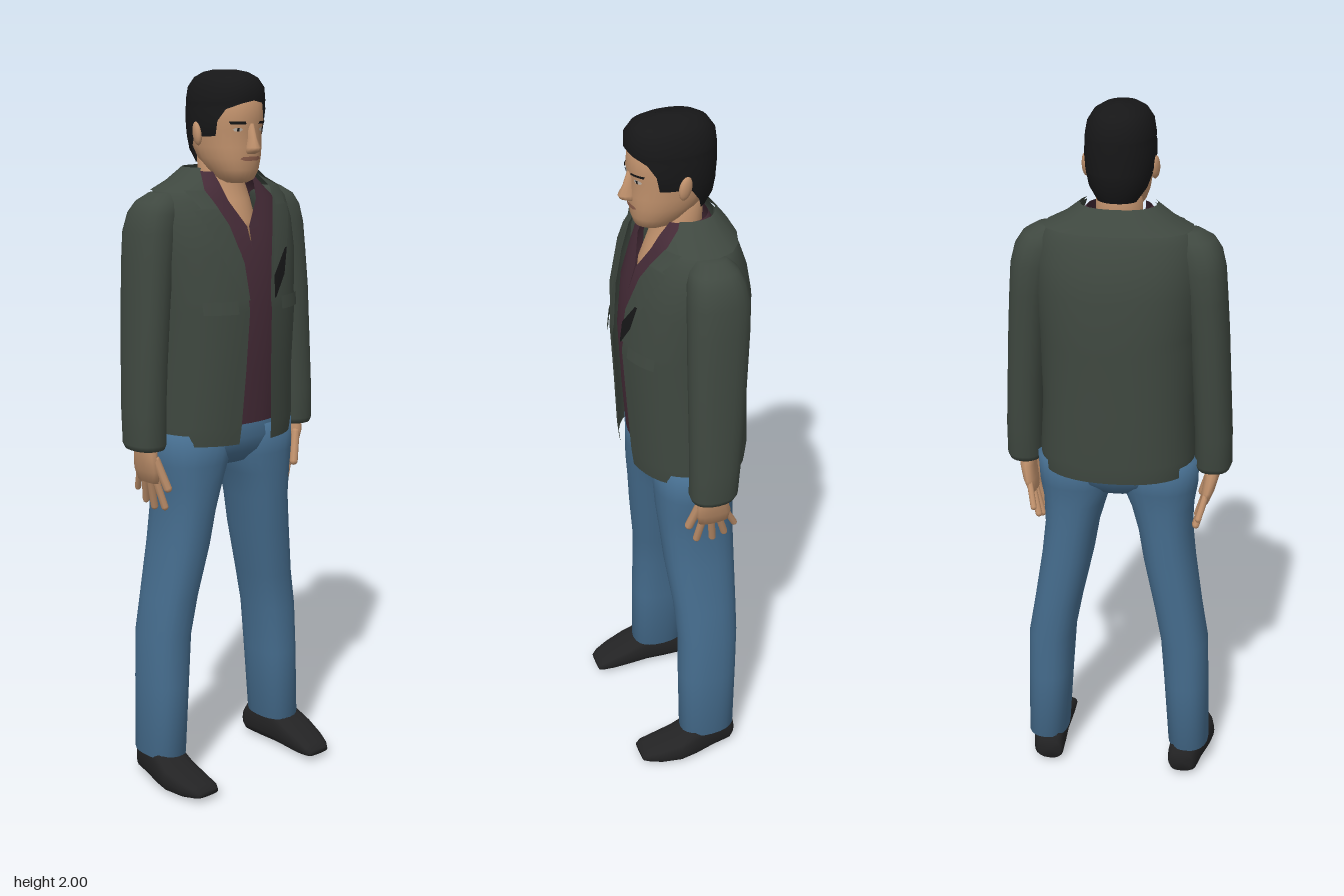
import * as THREE from 'three';
import { mergeVertices } from 'three/addons/utils/BufferGeometryUtils.js';

const mat = (name, color, side = THREE.FrontSide) => {
  const m = new THREE.MeshStandardMaterial({ color, side });
  m.name = name;
  return m;
};

// Loft through rings [y, centreX, radiusX, zBack, zFront, startAngle, endAngle]; angle 0 is the front
function loft(rings, { seg = 28, e = 2.3, cap = true, offset = 0 } = {}) {
  const pos = [], idx = [], n = seg + 1;
  const pw = v => Math.sign(v) * Math.abs(v) ** (2 / e);
  for (const [y, cx, rx, zb, zf, a0 = 0, a1 = 2 * Math.PI - a0] of rings) {
    for (let j = 0; j < n; j++) {
      const t = a0 + (a1 - a0) * j / seg;
      let s = Math.sin(t), c = Math.cos(t);
      if (Math.abs(s) < 1e-9) s = 0;
      if (Math.abs(c) < 1e-9) c = 0;
      pos.push(cx + (rx + offset) * pw(s), y, (zb + zf) / 2 + ((zf - zb) / 2 + offset) * pw(c));
    }
  }
  for (let i = 0; i < rings.length - 1; i++) for (let j = 0; j < seg; j++) {
    const a = i * n + j, d = a + n;
    idx.push(a, a + 1, d + 1, a, d + 1, d);
  }
  if (cap) [0, rings.length - 1].forEach((r, k) => {
    const [y, cx, , zb, zf] = rings[r], c = pos.length / 3;
    pos.push(cx, y, (zb + zf) / 2);
    for (let j = 0; j < seg; j++) {
      const a = r * n + j;
      idx.push(c, k ? a : a + 1, k ? a + 1 : a);
    }
  });
  let g = new THREE.BufferGeometry();
  g.setAttribute('position', new THREE.Float32BufferAttribute(pos, 3));
  g.setIndex(idx);
  g = mergeVertices(g, 1e-5);
  g.computeVertexNormals();
  return g;
}

// Thin strip lying on a loft: rows are [y, startAngle, endAngle]
function patch(rings, rows, offset, side = 1, e = 2.3) {
  const made = rows.map(([y, a, b]) => {
    let i = 0;
    while (i < rings.length - 2 && rings[i + 1][0] < y) i++;
    const p = rings[i], q = rings[i + 1], k = (y - p[0]) / (q[0] - p[0]);
    const r = [1, 2, 3, 4].map(m => p[m] + (q[m] - p[m]) * k);
    return [y, ...r, ...(side > 0 ? [a, b] : [-b, -a])];
  });
  return loft(made, { seg: 12, cap: false, offset, e });
}

export function createModel() {
  const root = new THREE.Group();
  root.name = 'standingMan';
  const D = THREE.DoubleSide;
  const skin = mat('skin', 0xc0916c), jacketM = mat('jacket green', 0x3f4840, D);
  const shirtM = mat('shirt maroon', 0x452b37, D), denim = mat('denim blue', 0x456c8d);
  const hairM = mat('hair black', 0x171718, D), leather = mat('shoe black', 0x232324);
  const lip = mat('lip', 0x8f604d, D), eyeM = mat('eye white', 0xc4b8ac, D);
  const add = (name, geo, m, parent = root) => {
    const mesh = new THREE.Mesh(geo, m);
    mesh.name = name;
    parent.add(mesh);
    return mesh;
  };

  // Jacket body, open down the front
  const jacket = [
    [1.0, 0, .212, -.185, .145, .22], [1.05, 0, .218, -.19, .15, .2], [1.2, 0, .21, -.188, .157, .17],
    [1.37, 0, .215, -.19, .165, .14], [1.4, 0, .216, -.19, .16, .14], [1.52, 0, .225, -.188, .148, .19],
    [1.6, 0, .225, -.172, .125, .3], [1.66, 0, .213, -.15, .1, .45], [1.69, 0, .188, -.135, .08, .6],
    [1.715, 0, .13, -.115, .065, .85], [1.74, 0, .1, -.095, .05, 1.1]];
  add('jacketBody', loft(jacket, { cap: false, seg: 40 }), jacketM);
  add('collar', patch(jacket, [[1.685, .95, 5.33], [1.71, .9, 5.38], [1.745, 1.05, 5.23]], .009), jacketM);
  add('lapelShade', patch(jacket, [[1.4, .15, .17], [1.46, .16, .34], [1.53, .38, .42]], .012), hairM);

  // Shirt with a V neck
  add('shirt', loft([
    [1.05, 0, .17, -.15, .128], [1.2, 0, .175, -.15, .138], [1.38, 0, .18, -.15, .146],
    [1.52, 0, .19, -.15, .13], [1.59, 0, .18, -.13, .108, .01], [1.66, 0, .165, -.12, .086, .25],
    [1.7, 0, .12, -.1, .07, .45], [1.735, 0, .085, -.082, .055, .8]], { cap: false, seg: 36 }), shirtM);

  // Neck and chest
  add('neck', loft([
    [1.55, 0, .08, -.06, .102], [1.6, 0, .08, -.065, .096], [1.66, 0, .075, -.07, .072],
    [1.72, 0, .062, -.072, .05], [1.8, 0, .06, -.075, .045]], { e: 2 }), skin);

  // Head
  const head = [
    [1.705, 0, .028, .03, .088], [1.715, 0, .045, .0, .108], [1.74, 0, .063, -.03, .117],
    [1.77, 0, .075, -.065, .12], [1.8, 0, .081, -.085, .121], [1.845, 0, .085, -.095, .119],
    [1.87, 0, .086, -.098, .126], [1.91, 0, .085, -.098, .122], [1.96, 0, .07, -.08, .1]];
  add('head', loft(head, { e: 2.2 }), skin);
  add('mouth', patch(head, [[1.765, -.25, .25], [1.77, -.42, .42], [1.776, -.3, .3]], .003, 1, 2.2), lip);
  add('nose', loft([
    [1.783, 0, .012, .105, .13], [1.79, 0, .019, .1, .147], [1.8, 0, .018, .1, .152],
    [1.825, 0, .011, .1, .139], [1.862, 0, .009, .1, .126]], { seg: 12, e: 2 }), skin);

  // Hair, open round the face
  add('hair', loft([
    [1.755, 0, .066, -.08, .1, 2.3], [1.79, 0, .083, -.098, .12, 2.0], [1.825, 0, .09, -.104, .126, 1.75],
    [1.83, 0, .091, -.104, .126, 1.08], [1.87, 0, .094, -.107, .13, 1.02], [1.9, 0, .093, -.107, .13, .8],
    [1.915, 0, .092, -.107, .13, .35], [1.922, 0, .092, -.107, .13], [1.955, 0, .086, -.103, .13],
    [1.98, 0, .07, -.085, .112], [1.994, 0, .046, -.06, .085], [2.0, 0, .022, -.03, .05]],
  { e: 2.2, seg: 36, cap: false }), hairM);
  add('hairCrown', loft([[1.99, 0, .03, -.04, .06], [2.0, 0, .022, -.03, .05]], { e: 2.2 }), hairM);

  // Jeans top
  add('jeansSeat', loft([
    [.925, 0, .08, -.09, .06], [.96, 0, .17, -.125, .09], [1.0, 0, .215, -.14, .102],
    [1.09, 0, .19, -.14, .1]]), denim);

  for (const s of [1, -1]) {
    const label = s > 0 ? 'left' : 'right';
    const side = rows => rows.map(([y, cx, ...r]) => [y, cx * s, ...r]);

    // Face details
    add(label + 'Eye', patch(head, [[1.842, .36, .52], [1.847, .28, .6], [1.852, .36, .52]], .003, s, 2.2), eyeM);
    add(label + 'Pupil', patch(head, [[1.843, .4, .47], [1.852, .4, .47]], .005, s, 2.2), hairM);
    add(label + 'Eyebrow', patch(head, [[1.861, .2, .68], [1.868, .24, .74]], .003, s, 2.2), hairM);
    const ear = add(label + 'Ear', new THREE.SphereGeometry(1, 12, 10), skin);
    ear.scale.set(.011, .032, .019);
    ear.position.set(.092 * s, 1.835, .005);
    ear.rotation.set(-.2, .3 * s, 0);

    // Jacket details and sleeve
    add(label + 'Lapel', patch(jacket, [[1.4, .14, .18], [1.5, .18, .42], [1.6, .3, .62], [1.64, .4, .78],
      [1.645, .41, .66], [1.69, .6, .98]], .008, s), jacketM);
    add(label + 'ChestPocket', patch(jacket, [[1.365, .3, .8], [1.4, .3, .8]], .006, s), jacketM);
    add(label + 'Sleeve', loft(side([
      [.995, .267, .046, -.07, .05], [1.01, .267, .052, -.078, .056], [1.1, .266, .052, -.085, .055],
      [1.23, .259, .052, -.095, .055], [1.4, .248, .054, -.105, .055], [1.5, .238, .057, -.112, .052],
      [1.58, .227, .062, -.115, .05], [1.63, .215, .062, -.105, .045], [1.66, .2, .057, -.09, .035],
      [1.682, .185, .035, -.065, .01]]), { seg: 20 }), jacketM);

    // Hand
    const hand = new THREE.Group();
    hand.name = label + 'Hand';
    root.add(hand);
    add('palm', loft(side([
      [.895, .247, .013, -.065, .022], [.93, .256, .018, -.068, .032], [.97, .264, .021, -.055, .035],
      [1.03, .267, .024, -.04, .025]]), { seg: 14 }), skin, hand);
    const finger = (name, a, b, r) => {
      const p = new THREE.Vector3(a[0] * s, a[1], a[2]), q = new THREE.Vector3(b[0] * s, b[1], b[2]);
      const f = add(name, new THREE.CapsuleGeometry(r, p.distanceTo(q), 4, 8), skin, hand);
      f.position.copy(p).lerp(q, .5);
      f.quaternion.setFromUnitVectors(new THREE.Vector3(0, 1, 0), p.sub(q).normalize());
    };
    finger('indexFinger', [.248, .91, .01], [.222, .825, .018], .0105);
    finger('middleFinger', [.249, .91, -.013], [.222, .817, -.029], .0105);
    finger('ringFinger', [.249, .91, -.035], [.226, .83, -.062], .01);
    finger('littleFinger', [.252, .925, -.055], [.235, .862, -.088], .009);
    finger('thumb', [.256, .965, .025], [.232, .885, .045], .012);

    // Trouser leg
    add(label + 'Leg', loft(side([
      [.085, .215, .06, -.105, .062], [.3, .205, .065, -.112, .062], [.44, .197, .068, -.116, .06],
      [.55, .177, .069, -.118, .066], [.7, .149, .074, -.12, .084], [.8, .135, .077, -.12, .092],
      [.88, .125, .09, -.121, .099], [.94, .117, .108, -.125, .1], [1.03, .113, .115, -.14, .1]]),
    { seg: 24 }), denim);

    // Shoe, lofted from heel to toe
    add(label + 'Shoe', loft(side([
      [-.106, .202, .034, -.075, -.012], [-.09, .206, .045, -.1, -.002], [-.03, .213, .05, -.112, 0],
      [.03, .223, .056, -.105, 0], [.08, .226, .058, -.08, 0], [.14, .22, .052, -.06, -.003],
      [.178, .213, .044, -.046, -.01], [.193, .211, .036, -.032, -.016]]),
    { seg: 20, e: 2.9 }).rotateX(Math.PI / 2), leather);
  }
  return root;
}
